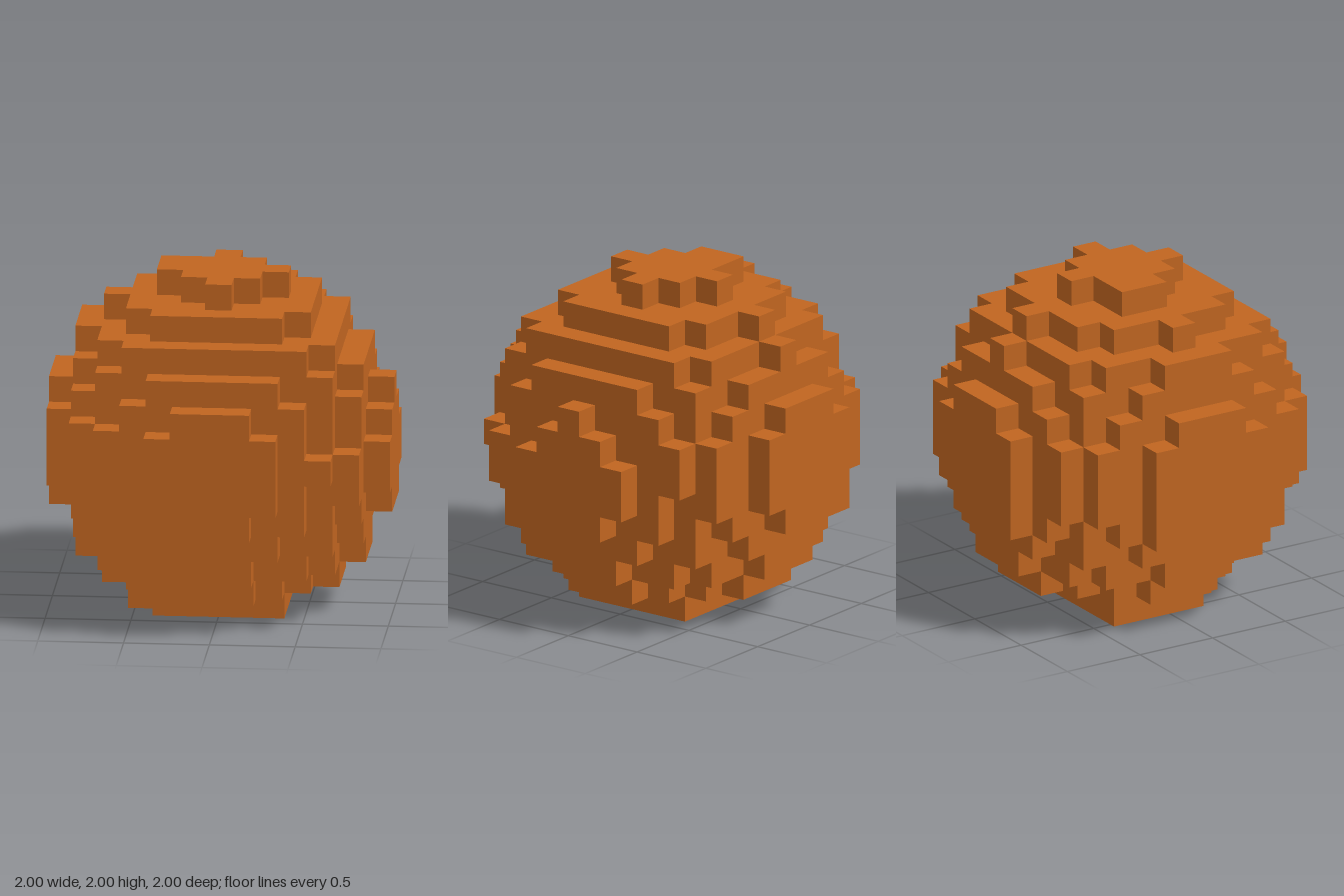
import * as THREE from 'three';

const N = 13, S = 2 / N, C = 6;

// Outer layers that differ from a plain round ball: row index -> [first, last] filled cell
const topCap = { 4: [6, 6], 5: [4, 7], 6: [4, 8], 7: [5, 7], 8: [6, 6] };              // z -> x
const topRing = { 2: [6, 6], 3: [4, 8], 4: [3, 9], 5: [3, 9], 6: [2, 9], 7: [3, 9], 8: [3, 9], 9: [4, 8] };
const frontRing = { 2: [5, 7], 3: [4, 8], 4: [3, 9], 5: [2, 9], 6: [2, 10], 7: [2, 9], 8: [3, 9], 9: [4, 8] }; // y -> x
const sideCap = { 4: [5, 7], 5: [4, 8], 6: [4, 8], 7: [5, 7], 8: [6, 6] };             // y -> z
const sideRing = { 2: [5, 7], 3: [4, 8], 4: [3, 9], 5: [3, 10], 6: [2, 10], 7: [2, 9], 8: [3, 9], 9: [4, 8] };
const inRow = (rows, r, c) => !!rows[r] && c >= rows[r][0] && c <= rows[r][1];

// Is the cell x, y, z solid?
function solid(x, y, z) {
  if (Math.min(x, y, z) < 0 || Math.max(x, y, z) >= N) return false;
  if (y === 12) return inRow(topCap, z, x);
  if (y === 11) return inRow(topRing, z, x);
  if (x === 12) return inRow(sideCap, y, z);
  if (x === 11) return inRow(sideRing, y, z);
  if (z === 11) return inRow(frontRing, y, x);
  if (y === 0) return x >= 3 && x <= 8 && z >= 4 && z <= 8 && !(x === 3 && z === 8);
  if (y === 10 && z === 1) return x === 6;
  if (y === 4 && ((z === 0 && x === 4) || (x === 0 && z === 4))) return true;
  return (x - C) ** 2 + (y - C) ** 2 + (z - C) ** 2 <= 42.25;
}

// Flat-sided skin: one square for each exposed cell face
function blockSkin() {
  const position = [], normal = [], index = [];
  for (let x = 0; x < N; x++) for (let y = 0; y < N; y++) for (let z = 0; z < N; z++) {
    if (!solid(x, y, z)) continue;
    for (let axis = 0; axis < 3; axis++) for (const sign of [-1, 1]) {
      const n = [0, 0, 0];
      n[axis] = sign;
      if (solid(x + n[0], y + n[1], z + n[2])) continue;
      const u = (axis + 1) % 3, v = (axis + 2) % 3, start = position.length / 3;
      for (const [a, b] of [[-1, -1], [1, -1], [1, 1], [-1, 1]]) {
        const p = [x + 0.5, y + 0.5, z + 0.5];
        p[axis] += sign / 2;
        p[u] += a * sign / 2;
        p[v] += b / 2;
        position.push(p[0] * S - 1, p[1] * S, p[2] * S - 1);
        normal.push(...n);
      }
      index.push(start, start + 1, start + 2, start, start + 2, start + 3);
    }
  }
  const g = new THREE.BufferGeometry();
  g.setAttribute('position', new THREE.Float32BufferAttribute(position, 3));
  g.setAttribute('normal', new THREE.Float32BufferAttribute(normal, 3));
  g.setIndex(index);
  return g;
}

export function createModel() {
  const orange = new THREE.MeshStandardMaterial({ color: 0xc06520 });
  orange.name = 'burnt orange';

  const group = new THREE.Group();
  group.name = 'blockBall';
  const ball = new THREE.Mesh(blockSkin(), orange);
  ball.name = 'ball';
  group.add(ball);
  return group;
}
